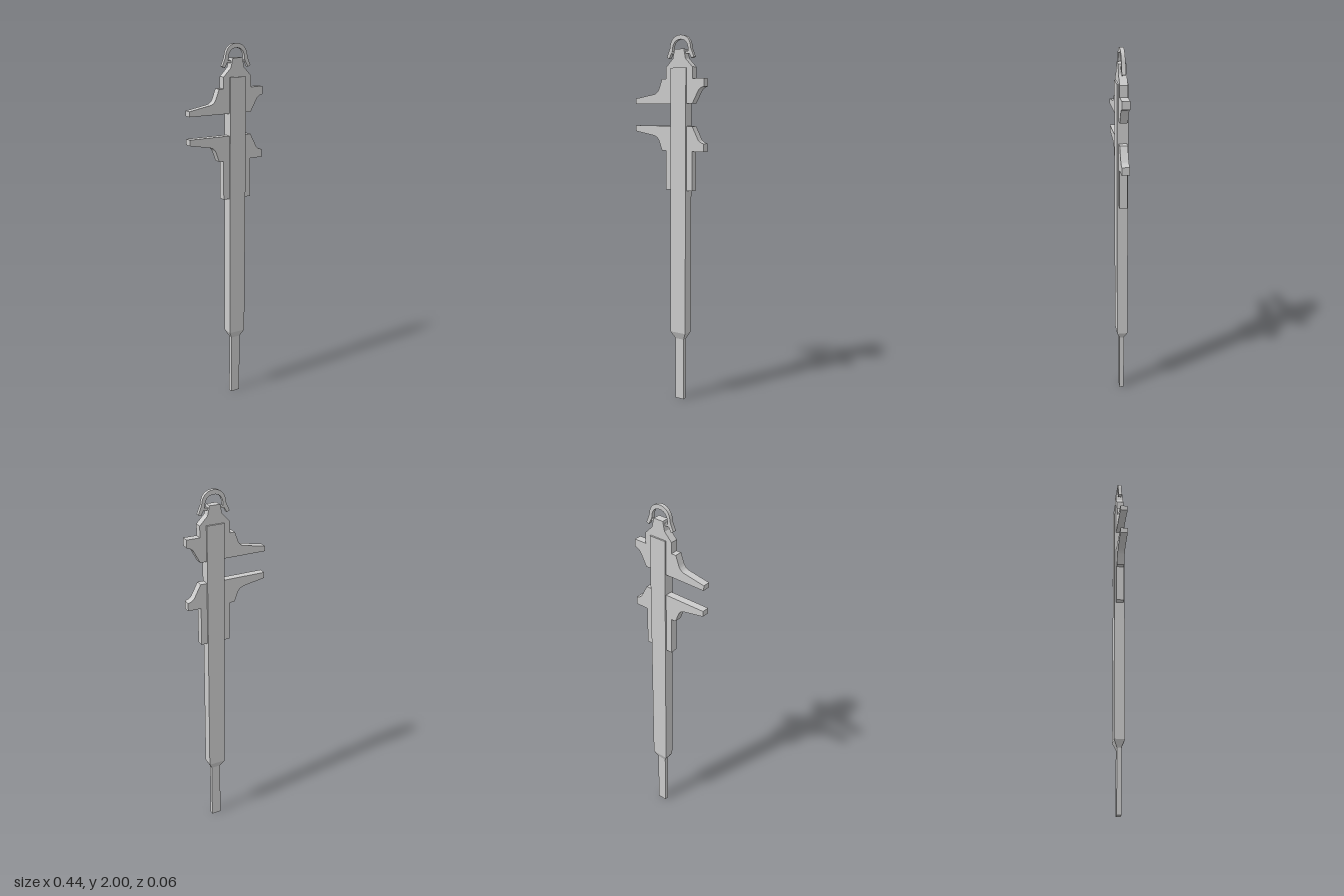
import * as THREE from 'three';
import { toCreasedNormals } from 'three/addons/utils/BufferGeometryUtils.js';

const CX = 0.065; // centre line of the bar
const material = new THREE.MeshStandardMaterial({ color: 0xcccccc });

function add(group, name, geometry) {
  const mesh = new THREE.Mesh(geometry, material);
  mesh.name = name;
  group.add(mesh);
  return mesh;
}

// Flat plate cut from a shape, centred on z = 0
function plate(shape, depth) {
  const g = new THREE.ExtrudeGeometry(shape, { depth, bevelEnabled: false, curveSegments: 10 });
  g.translate(0, 0, -depth / 2);
  return toCreasedNormals(g, 0.5);
}

// Rectangular section of the bar; the lower end may be narrower
function barSection(y0, y1, topW, topD, botW = topW, botD = topD) {
  const g = new THREE.BoxGeometry(topW, y1 - y0, topD);
  const p = g.attributes.position;
  for (let i = 0; i < p.count; i++) {
    if (p.getY(i) < 0) {
      p.setX(i, Math.sign(p.getX(i)) * botW / 2);
      p.setZ(i, Math.sign(p.getZ(i)) * botD / 2);
    }
  }
  g.computeVertexNormals();
  g.translate(CX, (y0 + y1) / 2, 0);
  return g;
}

// Fixed jaw with the tapered head above it
function fixedJawShape() {
  const s = new THREE.Shape();
  s.moveTo(-0.22, 1.642);
  s.lineTo(0.148, 1.642);
  s.lineTo(0.182, 1.705);
  s.quadraticCurveTo(0.192, 1.725, 0.22, 1.731);
  s.lineTo(0.22, 1.773);
  s.lineTo(0.148, 1.773);
  s.lineTo(0.148, 1.833);
  s.lineTo(0.105, 1.877);
  s.lineTo(0.094, 1.927);
  s.lineTo(0.037, 1.927);
  s.lineTo(0.025, 1.877);
  s.lineTo(-0.018, 1.833);
  s.lineTo(-0.018, 1.773);
  s.lineTo(-0.045, 1.773);
  s.lineTo(-0.064, 1.722);
  s.quadraticCurveTo(-0.075, 1.696, -0.1, 1.692);
  s.lineTo(-0.22, 1.67);
  return s;
}

// Sliding jaw with its sleeve below
function slidingJawShape() {
  const s = new THREE.Shape();
  s.moveTo(-0.22, 1.524);
  s.lineTo(-0.22, 1.493);
  s.lineTo(-0.1, 1.471);
  s.quadraticCurveTo(-0.075, 1.466, -0.064, 1.441);
  s.lineTo(-0.045, 1.391);
  s.lineTo(-0.018, 1.391);
  s.lineTo(-0.018, 1.18);
  s.lineTo(0.148, 1.18);
  s.lineTo(0.148, 1.391);
  s.lineTo(0.22, 1.391);
  s.lineTo(0.22, 1.434);
  s.quadraticCurveTo(0.192, 1.439, 0.182, 1.459);
  s.lineTo(0.148, 1.524);
  return s;
}

// Arched bail with flared feet
function bailShape() {
  const s = new THREE.Shape();
  s.moveTo(CX - 0.085, 1.885);
  s.lineTo(CX - 0.066, 1.93);
  s.bezierCurveTo(CX - 0.064, 1.975, CX - 0.038, 2, CX, 2);
  s.bezierCurveTo(CX + 0.038, 2, CX + 0.064, 1.975, CX + 0.066, 1.93);
  s.lineTo(CX + 0.085, 1.885);
  s.lineTo(CX + 0.07, 1.878);
  s.lineTo(CX + 0.05, 1.915);
  s.bezierCurveTo(CX + 0.05, 1.955, CX + 0.032, 1.977, CX, 1.977);
  s.bezierCurveTo(CX - 0.032, 1.977, CX - 0.05, 1.955, CX - 0.05, 1.915);
  s.lineTo(CX - 0.07, 1.878);
  return s;
}

export function createModel() {
  const model = new THREE.Group();
  model.name = 'caliper';

  // Main bar, its tapered end and the depth rod
  add(model, 'bar', barSection(0.387, 1.83, 0.096, 0.058));
  add(model, 'barTaper', barSection(0.347, 0.387, 0.096, 0.058, 0.054, 0.024));
  add(model, 'depthRod', barSection(0, 0.347, 0.054, 0.024));

  // Jaws
  add(model, 'fixedJaw', plate(fixedJawShape(), 0.041));
  add(model, 'slidingJaw', plate(slidingJawShape(), 0.041));

  // Hanging bail and the pin that carries it
  add(model, 'bail', plate(bailShape(), 0.02));
  const pin = add(model, 'bailPin', new THREE.BoxGeometry(0.108, 0.012, 0.018));
  pin.position.set(CX, 1.908, 0);

  return model;
}
